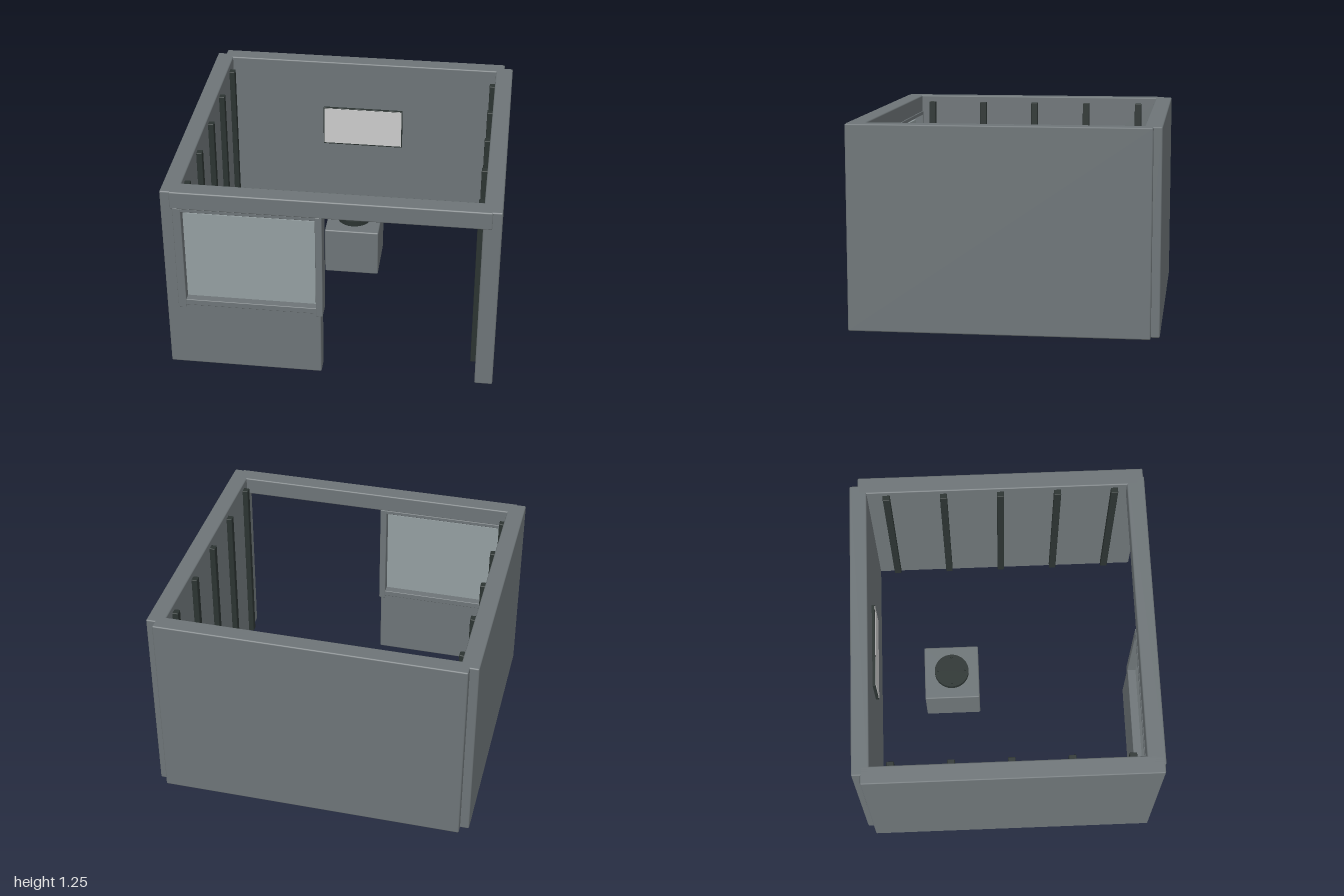
import * as THREE from 'three';
import { RoundedBoxGeometry } from 'three/addons/geometries/RoundedBoxGeometry.js';

const mat = (name, color) => {
  const m = new THREE.MeshStandardMaterial({ color });
  m.name = name;
  return m;
};

export function createModel() {
  const root = new THREE.Group();
  root.name = 'booth';
  const grey = mat('wall grey', 0x6d7477);
  const dark = mat('dark trim', 0x2b3331);
  const glass = mat('window glass', 0x949ea0);
  const pale = mat('screen pale', 0xcbcbcb);

  // Box given by its min and max on each axis, with an optional small bevel
  const box = (name, m, [x0, x1], [y0, y1], [z0, z1], bevel = 0, parent = root) => {
    const w = x1 - x0, h = y1 - y0, d = z1 - z0;
    const geo = bevel
      ? new RoundedBoxGeometry(w, h, d, 1, bevel)
      : new THREE.BoxGeometry(w, h, d);
    const mesh = new THREE.Mesh(geo, m);
    mesh.name = name;
    mesh.position.set((x0 + x1) / 2, (y0 + y1) / 2, (z0 + z1) / 2);
    parent.add(mesh);
    return mesh;
  };

  // Walls
  const H = 1.245, B = 0.008;
  box('rightWall', grey, [-1, -0.89], [0, H], [-0.88, 0.925], B);
  box('leftWall', grey, [0.89, 1], [0, H], [-0.88, 0.925], B);
  box('backWall', grey, [-0.945, 0.945], [0, H], [-0.932, -0.825], B);
  box('frontLintel', grey, [-0.945, 0.945], [1.13, H], [0.82, 0.931], B);
  box('frontLowerPanel', grey, [-0.985, -0.055], [0, 0.45], [0.82, 0.925], B);

  // Window: posts, rails and recessed glass with a slot along its top
  const frame = new THREE.Group();
  frame.name = 'windowFrame';
  root.add(frame);
  const fz = [0.815, 0.931];
  box('windowPostOuter', grey, [-0.93, -0.88], [0.425, 1.135], fz, 0.004, frame);
  box('windowPostDoor', grey, [-0.085, -0.043], [0.425, 1.135], fz, 0.004, frame);
  box('windowSill', grey, [-0.885, -0.08], [0.443, 0.482], [0.816, 0.929], 0.004, frame);
  box('windowHead', grey, [-0.885, -0.08], [1.11, 1.135], [0.816, 0.929], 0.004, frame);
  box('windowGlass', glass, [-0.882, -0.083], [0.478, 1.075], [0.868, 0.88], 0, frame);

  // Upright ribs along both side walls
  for (const side of [-1, 1]) {
    for (let i = 0; i < 5; i++) {
      const z = -0.703 + i * 0.3615;
      const x = side * 0.8735;
      box('wallRib', dark, [x - 0.0185, x + 0.0185], [0.04, 1.205], [z - 0.0225, z + 0.0225], 0.004);
    }
  }

  // Screen on the back wall
  const screen = new THREE.Group();
  screen.name = 'wallScreen';
  root.add(screen);
  box('screenBody', dark, [-0.272, 0.272], [0.625, 0.905], [-0.83, -0.806], 0.003, screen);
  box('screenFace', pale, [-0.266, 0.266], [0.635, 0.901], [-0.807, -0.803], 0, screen);

  // Pedestal with a round plate and four studs
  const cz = -0.34;
  box('pedestal', grey, [-0.18, 0.18], [0, 0.33], [cz - 0.18, cz + 0.18], B);
  const cylinder = (name, r, y0, y1, x, z, sides) => {
    const mesh = new THREE.Mesh(new THREE.CylinderGeometry(r, r, y1 - y0, sides), dark);
    mesh.name = name;
    mesh.position.set(x, (y0 + y1) / 2, z);
    root.add(mesh);
  };
  cylinder('roundPlate', 0.112, 0.328, 0.365, 0, cz, 48);
  for (let i = 0; i < 4; i++) {
    const a = (i * Math.PI) / 2;
    cylinder('plateStud', 0.007, 0.36, 0.382, Math.cos(a) * 0.09, cz + Math.sin(a) * 0.09, 12);
  }

  return root;
}
